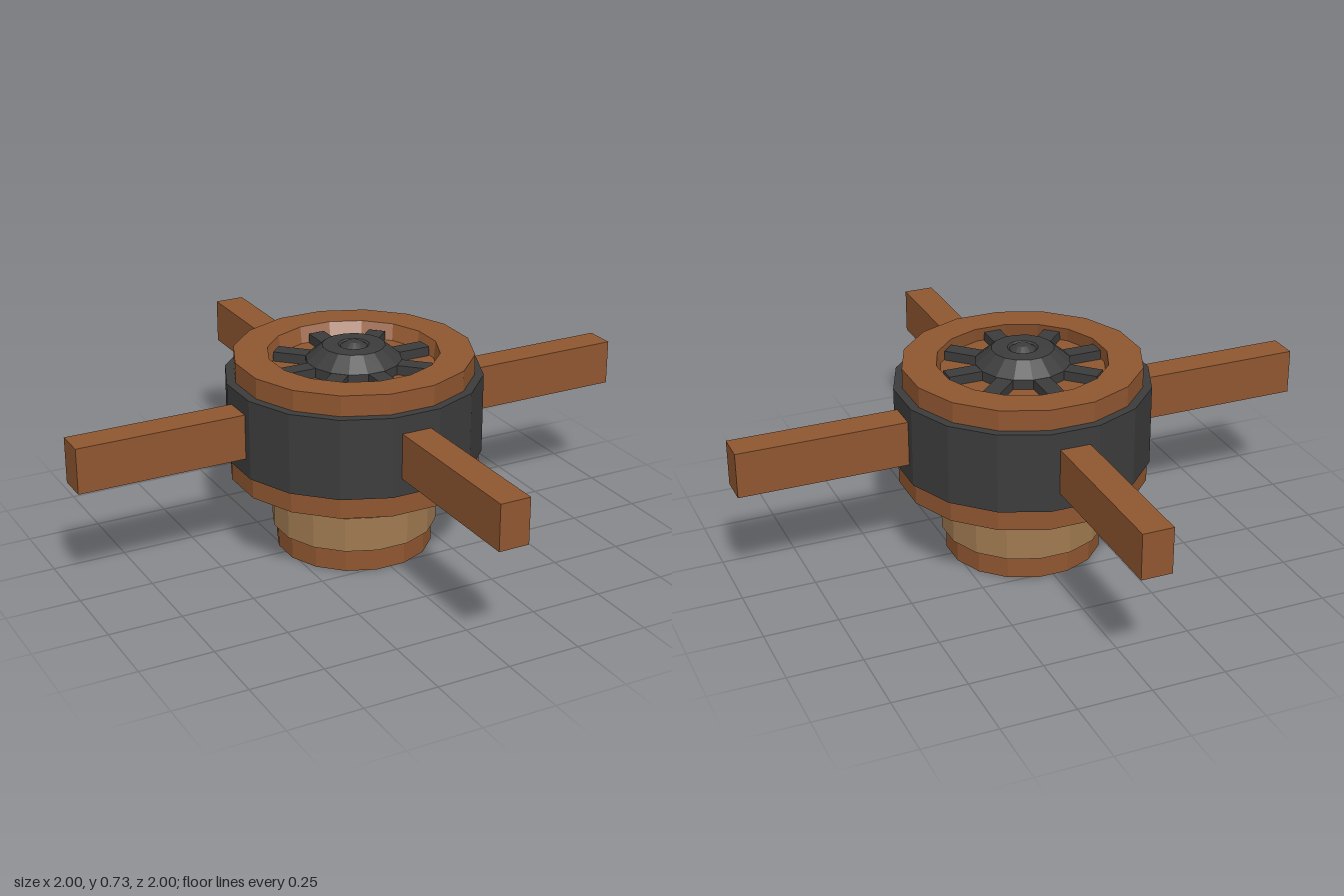
import * as THREE from 'three';

const SIDES = 16;
const TURN = Math.PI / SIDES; // puts flats, not corners, on the axes

const material = (color) => new THREE.MeshStandardMaterial({ color, flatShading: true });

export function createModel() {
  const wood = material(0x8f5630);
  const paleWood = material(0xa07a50);
  const iron = material(0x3c3c3c);
  const model = new THREE.Group();

  function add(name, geometry, mat, parent = model) {
    const mesh = new THREE.Mesh(geometry, mat);
    mesh.name = name;
    parent.add(mesh);
    return mesh;
  }

  // Faceted solid of revolution; the profile runs from bottom to top
  function turned(profile, sides = SIDES) {
    const points = profile.map(([r, y]) => new THREE.Vector2(r, y));
    return new THREE.LatheGeometry(points, sides, Math.PI / sides);
  }

  // Closed ring or drum between two heights
  function drum(radius, y0, y1) {
    return new THREE.CylinderGeometry(radius, radius, y1 - y0, SIDES, 1, false, TURN)
      .translate(0, (y0 + y1) / 2, 0);
  }

  // Lower shaft and its collar
  add('shaft', drum(0.267, 0, 0.3), wood);
  add('shaftCollar', drum(0.282, 0.08, 0.2), paleWood);

  // Wooden drum head with a shallow recess whose floor sits slightly off centre
  const floorY = 0.635, offX = -0.01, offZ = 0.02;
  const head = turned([
    [0, 0.27], [0.424, 0.27], [0.424, 0.34], [0.403, 0.34],
    [0.403, 0.685], [0.288, 0.685], [0.28, floorY], [0, floorY],
  ]);
  const pos = head.attributes.position;
  for (let i = 0; i < pos.count; i++) {
    if (Math.abs(pos.getY(i) - floorY) < 1e-4) {
      pos.setX(i, pos.getX(i) + offX);
      pos.setZ(i, pos.getZ(i) + offZ);
    }
  }
  add('drumHead', head, wood);

  // Iron band around the drum
  add('ironBand', turned([
    [0.4, 0.34], [0.433, 0.34], [0.433, 0.615], [0.4, 0.615],
  ]), iron);

  // Four push bars
  for (let i = 0; i < 4; i++) {
    const bar = add('pushBar', new THREE.BoxGeometry(0.62, 0.155, 0.104).translate(0.69, 0.4775, 0), wood);
    bar.rotation.y = i * Math.PI / 2;
  }

  // Iron spider set in the recess: eight spokes and a domed cap
  const spider = new THREE.Group();
  spider.name = 'ironSpider';
  spider.position.set(offX, 0, offZ);
  model.add(spider);
  for (let i = 0; i < 8; i++) {
    const spoke = add('spoke', new THREE.BoxGeometry(0.2, 0.035, 0.058).translate(0.172, 0.65, 0), iron, spider);
    spoke.rotation.y = i * Math.PI / 4;
  }
  add('cap', turned([
    [0.16, 0.63], [0.16, 0.668], [0.105, 0.715], [0.052, 0.716],
    [0.045, 0.711], [0.022, 0.726], [0, 0.727],
  ]), iron, spider);

  return model;
}
